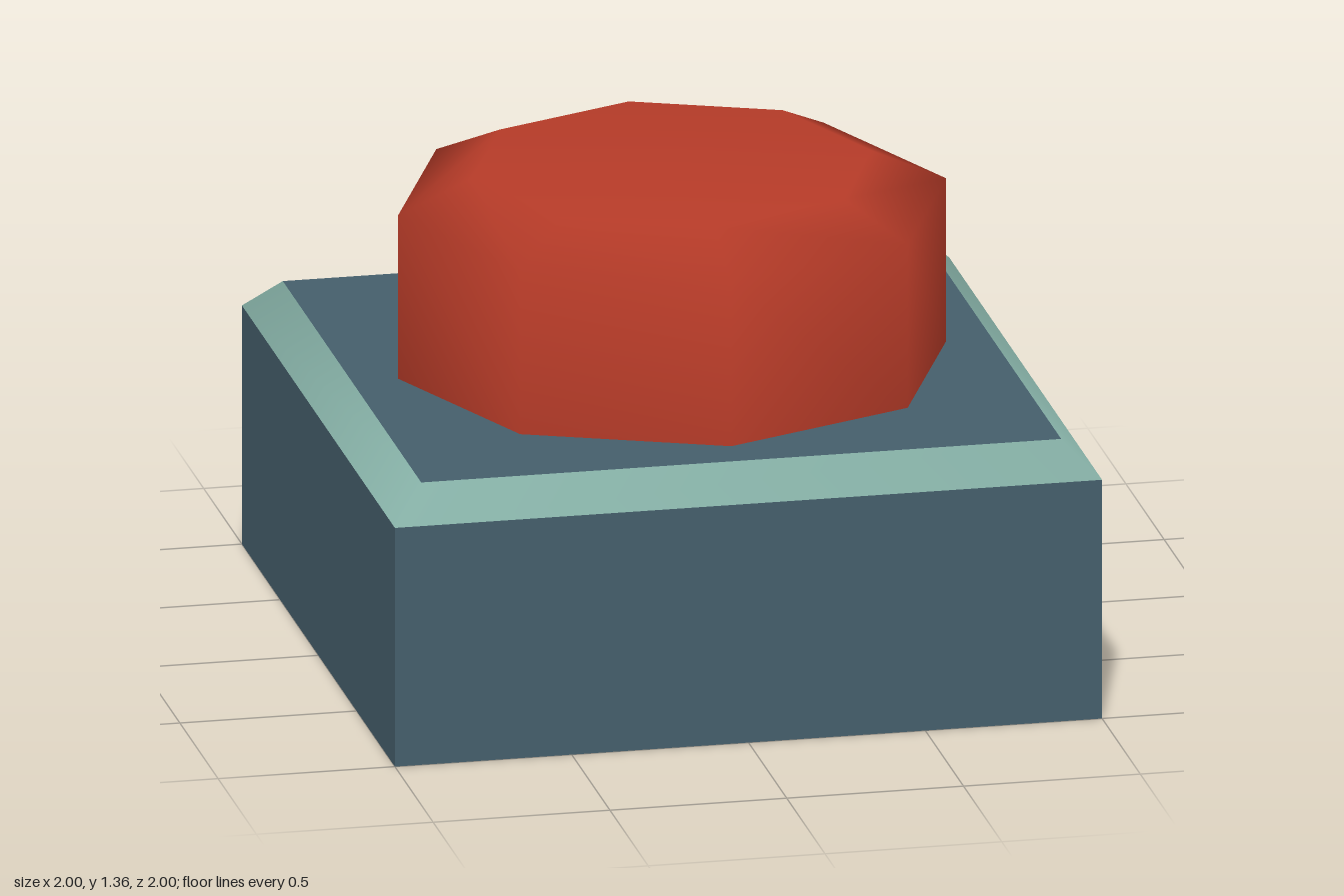
import * as THREE from 'three';

const mat = (name, color) => {
  const m = new THREE.MeshStandardMaterial({ color });
  m.name = name;
  return m;
};

export function createModel() {
  const group = new THREE.Group();
  group.name = 'pushButton';
  const slate = mat('slate blue', 0x455e6b);
  const teal = mat('pale teal', 0x84aea4);
  const red = mat('brick red', 0xb63b28);

  const add = (name, geometry, material, y) => {
    const mesh = new THREE.Mesh(geometry, material);
    mesh.name = name;
    mesh.position.y = y;
    group.add(mesh);
  };

  const baseH = 0.695, topY = 0.79, topHalf = 0.905;

  // Square housing
  add('housing', new THREE.BoxGeometry(2, baseH, 2), slate, baseH / 2);

  // Sloping rim: open four-sided frustum, softly shaded around the corners
  const rim = new THREE.CylinderGeometry(
    topHalf * Math.SQRT2, Math.SQRT2, topY - baseH, 4, 1, true);
  rim.rotateY(Math.PI / 4);
  add('bevelledRim', rim, teal, (topY + baseH) / 2);

  // Flat deck inside the rim
  const deck = new THREE.PlaneGeometry(topHalf * 2, topHalf * 2);
  deck.rotateX(-Math.PI / 2);
  add('deck', deck, slate, topY);

  // Eight-sided button cap with a chamfered top and smooth normals
  const profile = [[0.775, 0], [0.775, 0.475], [0.565, 0.57], [0, 0.57]]
    .map(([r, y]) => new THREE.Vector2(r, y));
  add('buttonCap', new THREE.LatheGeometry(profile, 8), red, topY);

  return group;
}
